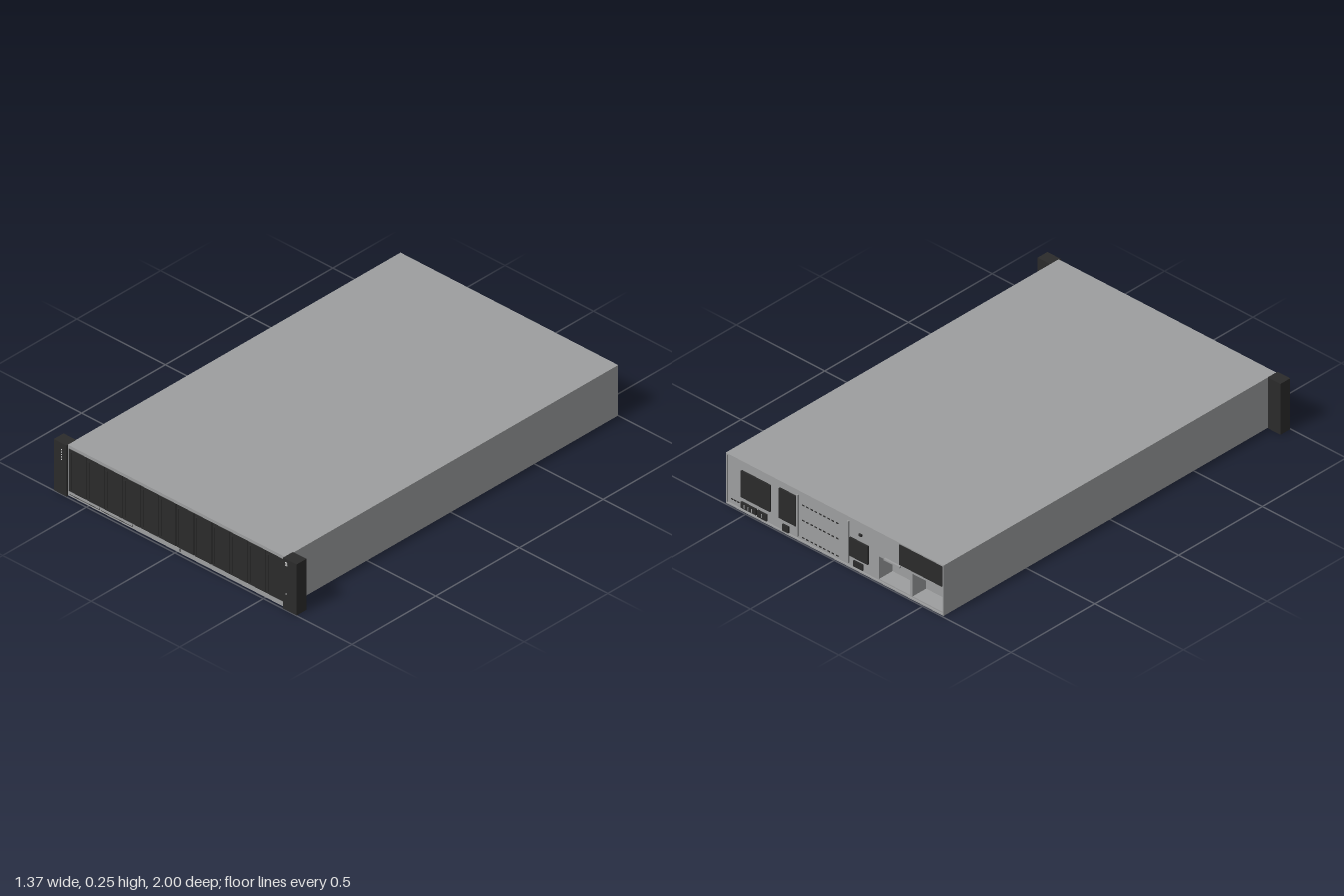
import * as THREE from 'three';

const mat = (name, color) => {
  const m = new THREE.MeshStandardMaterial({ color });
  m.name = name;
  return m;
};

export function createModel() {
  const model = new THREE.Group();
  model.name = 'rackServer';
  const steel = mat('steelGrey', 0x9d9e9f);
  const black = mat('blackPlastic', 0x2b2b2b);
  const light = mat('indicatorWhite', 0xd8d8d8);

  // Box given by its limits on each axis
  const box = (name, m, x0, x1, y0, y1, z0, z1, parent = model) => {
    const mesh = new THREE.Mesh(new THREE.BoxGeometry(x1 - x0, y1 - y0, z1 - z0), m);
    mesh.position.set((x0 + x1) / 2, (y0 + y1) / 2, (z0 + z1) / 2);
    mesh.name = name;
    parent.add(mesh);
    return mesh;
  };
  const rect = (P, x0, x1, y0, y1) => {
    const p = new P();
    p.moveTo(x0, y0).lineTo(x1, y0).lineTo(x1, y1).lineTo(x0, y1).closePath();
    return p;
  };
  // Slab with rectangular holes, extruded from z0 to z1
  const slab = (name, m, outer, holes, z0, z1) => {
    const s = rect(THREE.Shape, ...outer);
    s.holes = holes.map((h) => rect(THREE.Path, ...h));
    const mesh = new THREE.Mesh(new THREE.ExtrudeGeometry(s, { depth: z1 - z0, bevelEnabled: false }), m);
    mesh.position.z = z0;
    mesh.name = name;
    model.add(mesh);
  };

  // Chassis: main case, rear section with power supply recesses, rear and front rims
  const W = 0.615, B = 0.003, T = 0.25;
  const outer = [-W, W, B, T];
  box('case', steel, -W, W, B, T, -0.91, 0.98);
  slab('rearPanel', steel, outer, [[-0.42, -0.245, 0.015, 0.125], [-0.603, -0.435, 0.015, 0.125]], -0.99, -0.91);
  slab('rearRim', steel, outer, [[-W + 0.006, W - 0.006, B + 0.006, T - 0.006]], -0.997, -0.99);
  slab('frontFrame', steel, outer, [[-0.61, 0.606, 0.025, 0.235]], 0.98, 0.99);

  // Twelve drive carriers in front of a dark backing
  box('driveBay', black, -0.61, 0.606, 0.025, 0.235, 0.975, 0.984);
  const pitch = 1.216 / 12;
  for (let i = 0; i < 12; i++) {
    const x = -0.61 + i * pitch;
    box('driveCarrier', black, x + 0.002, x + pitch - 0.002, 0.027, 0.233, 0.983, 0.991);
    box('driveLatch', black, x + 0.008, x + 0.018, 0.04, 0.22, 0.99, 0.994);
  }

  // Pull tabs under the drives
  for (const [x0, x1] of [[-0.605, -0.432], [-0.425, -0.25]]) {
    box('tabShadow', black, x0, x1, 0.011, 0.013, 0.989, 0.991);
    box('tabEnd', black, x1 - 0.002, x1, 0.011, 0.023, 0.989, 0.991);
  }
  box('frameSeam', black, 0.018, 0.021, 0.01, 0.023, 0.989, 0.991);

  // Rack ears
  for (const s of [-1, 1]) {
    const ear = new THREE.Group();
    ear.name = s < 0 ? 'rightEar' : 'leftEar';
    model.add(ear);
    const [a, b] = s < 0 ? [-0.686, -0.614] : [0.61, 0.686];
    box('earBlock', black, a, b, 0, 0.25, 0.94, 0.998, ear);
  }
  for (let i = 0; i < 5; i++) {
    const y = 0.168 + i * 0.012;
    box('statusLight', light, -0.643, -0.639, y, y + 0.005, 0.997, 1);
  }
  for (const y of [0.217, 0.224, 0.231]) box('powerMark', light, 0.622, 0.634, y, y + 0.003, 0.997, 1);
  box('portMark', light, 0.626, 0.63, 0.077, 0.082, 0.997, 1);

  // Rear black grilles and ports: x0, x1, y0, y1
  const rear = [
    ['largeGrille', 0.365, 0.53, 0.07, 0.2],
    ['smallGrille', 0.22, 0.315, 0.065, 0.212],
    ['networkGrille', -0.187, -0.083, 0.06, 0.15],
    ['powerSupplyGrille', -0.607, -0.365, 0.143, 0.242],
    ['port', 0.445, 0.53, 0.018, 0.047],
    ['port', 0.385, 0.437, 0.015, 0.047],
    ['port', 0.262, 0.297, 0.012, 0.043],
    ['port', -0.158, -0.105, 0.018, 0.045],
    ['screw', -0.15, -0.135, 0.18, 0.19],
  ];
  for (const [name, x0, x1, y0, y1] of rear) box(name, black, x0, x1, y0, y1, -0.998, -0.989);

  // Pale dividers between the port cells
  for (const x of [0.465, 0.486, 0.507, 0.41]) box('portDivider', steel, x, x + 0.004, 0.022, 0.04, -0.9995, -0.997);

  // Expansion slot dashes and upright brackets
  for (const y of [0.18, 0.105, 0.02]) {
    for (let i = 0; i < 9; i++) {
      const x = 0.19 - i * 0.024;
      box('slotVent', black, x - 0.013, x, y, y + 0.005, -0.992, -0.989);
    }
  }
  for (let i = 0; i < 3; i++) box('slotVent', black, 0.545 + i * 0.017, 0.555 + i * 0.017, 0.03, 0.035, -0.992, -0.989);
  for (const x of [0.208, -0.078]) box('slotBracket', steel, x, x + 0.008, 0.02, 0.225, -1, -0.989);

  // Power supply handle bar between the two recesses
  box('supplyHandle', steel, -0.37, -0.28, 0.127, 0.135, -1, -0.989);

  return model;
}
